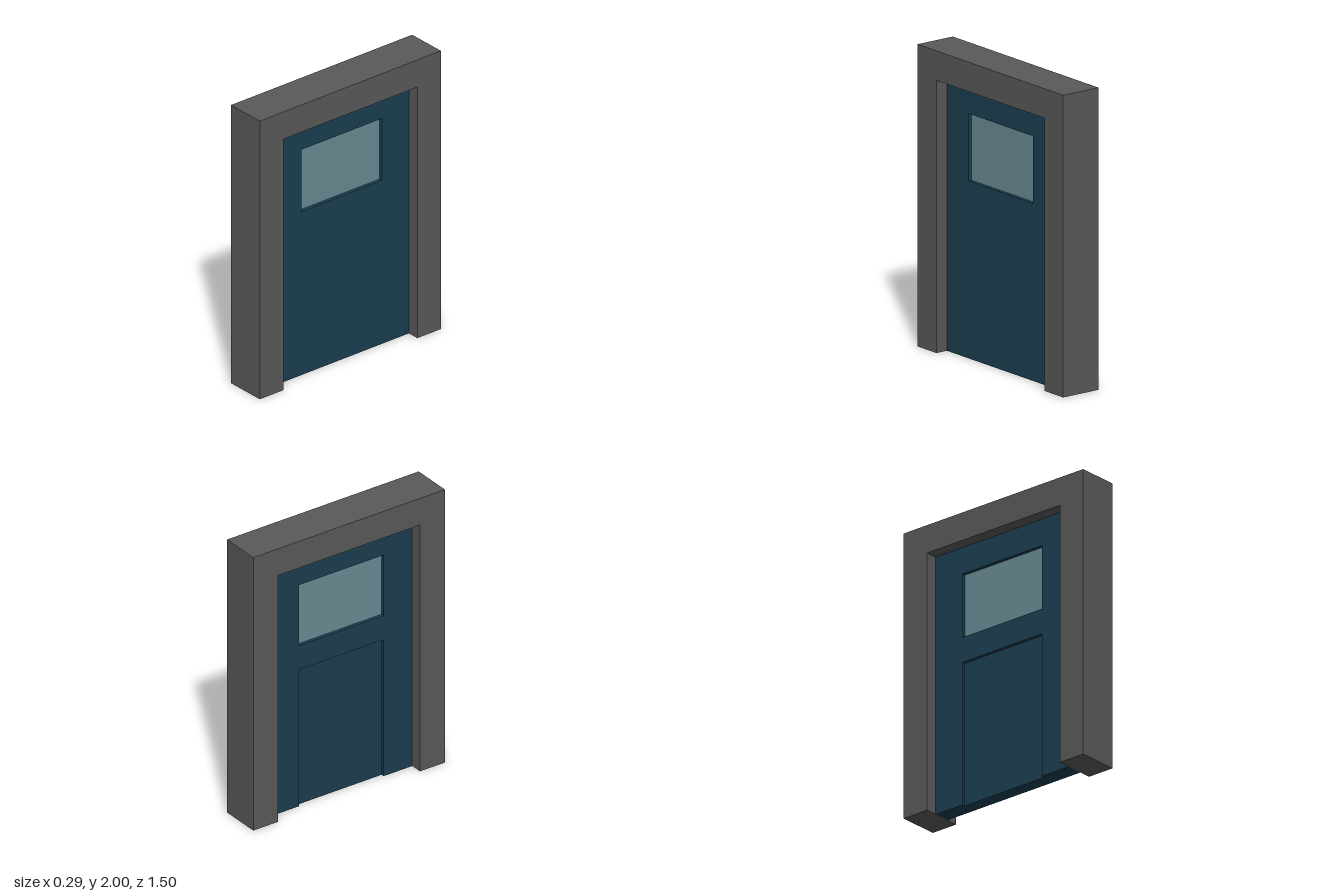
import * as THREE from 'three';

const rect = (target, z0, z1, y0, y1) => {
  target.moveTo(z0, y0);
  target.lineTo(z1, y0);
  target.lineTo(z1, y1);
  target.lineTo(z0, y1);
  target.closePath();
  return target;
};

// Inverted U: a slab with an opening that reaches the floor
const portal = (halfW, top, openHalfW, openTop) => new THREE.Shape([
  [-halfW, 0], [-openHalfW, 0], [-openHalfW, openTop], [openHalfW, openTop],
  [openHalfW, 0], [halfW, 0], [halfW, top], [-halfW, top],
].map(([z, y]) => new THREE.Vector2(z, y)));

// Extrudes a width/height outline along x, from x0 to x1
function slab(name, shape, x0, x1, material) {
  const geo = new THREE.ExtrudeGeometry(shape, { depth: x1 - x0, bevelEnabled: false });
  geo.translate(0, 0, x0);
  geo.rotateY(Math.PI / 2);
  const mesh = new THREE.Mesh(geo, material);
  mesh.name = name;
  return mesh;
}

export function createModel() {
  const model = new THREE.Group();
  model.name = 'framedDoor';
  const frameMat = new THREE.MeshStandardMaterial({ color: 0x595959 });
  const doorMat = new THREE.MeshStandardMaterial({ color: 0x1b3e50 });
  const glassMat = new THREE.MeshStandardMaterial({ color: 0x688b93 });

  const doorHalfW = 0.555, doorTop = 1.805, doorX = 0.058;
  const win = [-0.332, 0.332, 1.175, 1.62];
  const recessX = -0.036;

  // Surround
  model.add(slab('frame', portal(0.75, 2, doorHalfW, doorTop), -0.143, 0.143, frameMat));

  // Door leaf: main slab plus a back layer notched for the lower recess
  const door = new THREE.Group();
  door.name = 'door';
  const leaf = rect(new THREE.Shape(), -doorHalfW, doorHalfW, 0, doorTop);
  const back = portal(doorHalfW, doorTop, 0.332, 1.0);
  for (const shape of [leaf, back]) shape.holes.push(rect(new THREE.Path(), ...win));
  door.add(slab('doorLeaf', leaf, recessX, doorX, doorMat));
  door.add(slab('doorBackLayer', back, -doorX, recessX, doorMat));

  // Window pane, set in from both faces
  door.add(slab('windowPane', rect(new THREE.Shape(), ...win), -0.034, 0.034, glassMat));
  model.add(door);
  return model;
}
